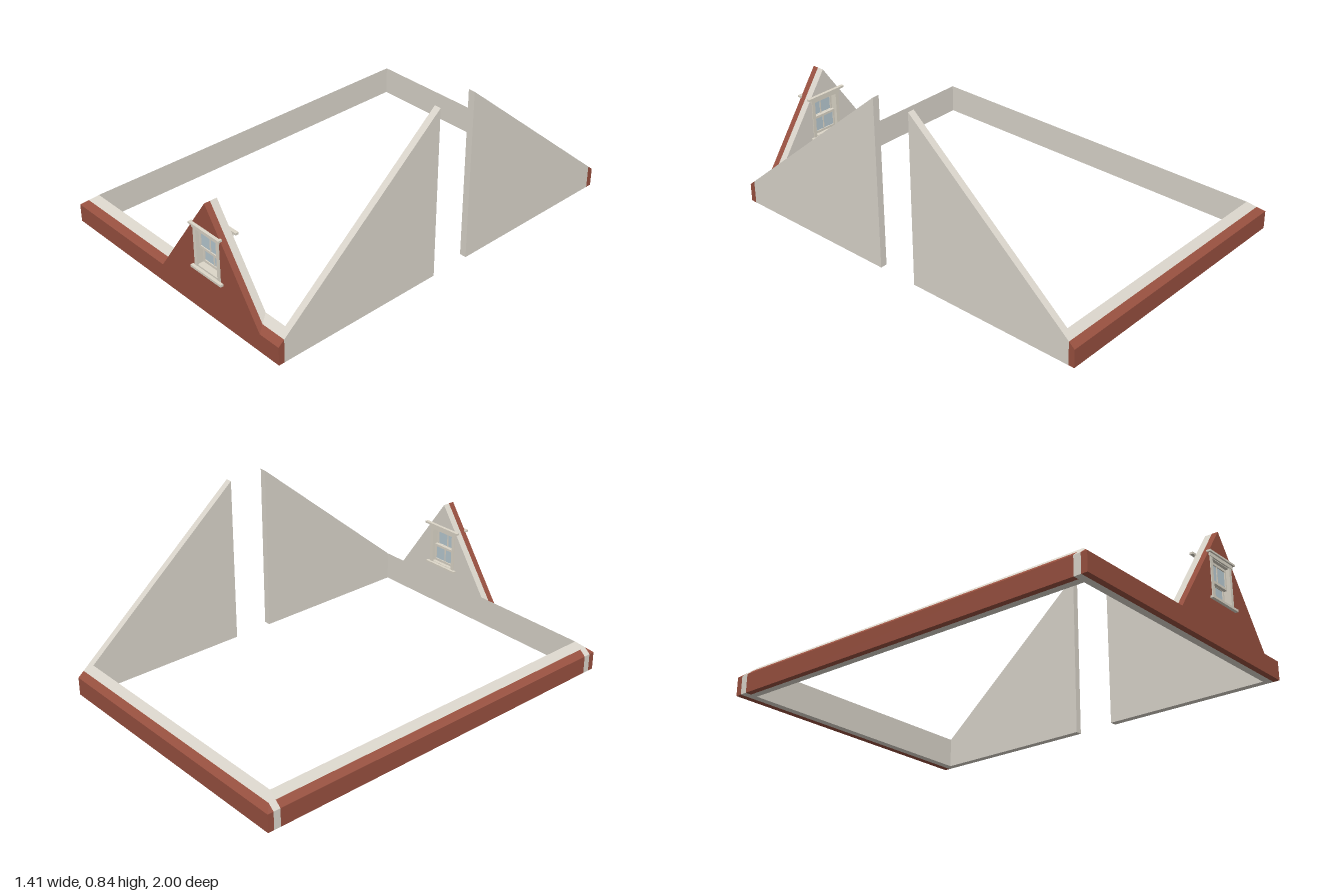
import * as THREE from 'three';

const brick = new THREE.MeshStandardMaterial({ name: 'red brick', color: 0x98503f });
const plaster = new THREE.MeshStandardMaterial({ name: 'pale plaster', color: 0xdad5cb });
const trim = new THREE.MeshStandardMaterial({ name: 'window trim', color: 0xdcd6c8 });
const glass = new THREE.MeshStandardMaterial({ name: 'window glass', color: 0xb9cad2 });

// plan lines: outer face, joint between brick and plaster, inner face
const L = [-0.705, -0.675, -0.64];
const F = [0.985, 0.955, 0.92];
const B = [-1, -0.97, -0.935];
const R = 0.705, RI = 0.672;
const EAVE = 0.09, SLOPE = 0.843;
const roof = (x, z) => EAVE + SLOPE * Math.min(x - L[0], F[0] - z, z - B[0]);

// upright prism over a convex [x, z] footprint, cut off by the roof planes
function wallPiece(name, material, footprint) {
  if (THREE.ShapeUtils.area(footprint.map(([x, z]) => new THREE.Vector2(x, z))) > 0) footprint = [...footprint].reverse();
  const low = footprint.map(([x, z]) => [x, 0, z]);
  const high = footprint.map(([x, z]) => [x, roof(x, z), z]);
  const pos = [];
  const tri = (a, b, c) => pos.push(...a, ...b, ...c);
  const n = footprint.length;
  for (let i = 0; i < n; i++) {
    const j = (i + 1) % n;
    tri(low[i], low[j], high[j]);
    tri(low[i], high[j], high[i]);
    if (i > 0 && i < n - 1) {
      tri(high[0], high[i], high[i + 1]);
      tri(low[0], low[i + 1], low[i]);
    }
  }
  const geo = new THREE.BufferGeometry();
  geo.setAttribute('position', new THREE.Float32BufferAttribute(pos, 3));
  geo.computeVertexNormals();
  const mesh = new THREE.Mesh(geo, material);
  mesh.name = name;
  return mesh;
}

// box given by its limits
function slab(name, material, x0, x1, y0, y1, z0, z1) {
  const mesh = new THREE.Mesh(new THREE.BoxGeometry(x1 - x0, y1 - y0, z1 - z0), material);
  mesh.position.set((x0 + x1) / 2, (y0 + y1) / 2, (z0 + z1) / 2);
  mesh.name = name;
  return mesh;
}

// triangular dormer wall with a window opening
const CX = 0.263, HALF = 0.326, APEX = 0.56;
function gable(name, material, z0, z1) {
  const shape = new THREE.Shape([
    [CX - HALF, 0], [CX + HALF, 0], [CX + HALF, EAVE], [CX, APEX], [CX - HALF, EAVE],
  ].map(([x, y]) => new THREE.Vector2(x, y)));
  shape.holes.push(new THREE.Path([
    [CX - 0.08, 0.215], [CX - 0.08, 0.415], [CX + 0.08, 0.415], [CX + 0.08, 0.215],
  ].map(([x, y]) => new THREE.Vector2(x, y))));
  const mesh = new THREE.Mesh(new THREE.ExtrudeGeometry(shape, { depth: z1 - z0, bevelEnabled: false }), material);
  mesh.position.z = z0;
  mesh.name = name;
  return mesh;
}

function createWindow() {
  const g = new THREE.Group();
  g.name = 'dormerWindow';
  const bar = (name, x0, x1, y0, y1, z0, z1, m = trim) => g.add(slab(name, m, CX + x0, CX + x1, y0, y1, z0, z1));
  // frame lining the opening, with casings proud of both faces
  for (const s of [-1, 1]) {
    const a = s < 0 ? -0.085 : 0.067, b = s < 0 ? -0.067 : 0.085;
    bar('outerCasing', a, b, 0.22, 0.41, 0.98, 0.989);
    bar('innerCasing', a, b, 0.222, 0.43, 0.916, 0.925);
    bar('jamb', s < 0 ? -0.08 : 0.071, s < 0 ? -0.071 : 0.08, 0.215, 0.415, 0.92, 0.985);
  }
  bar('headLining', -0.08, 0.08, 0.405, 0.415, 0.92, 0.985);
  bar('sillLining', -0.08, 0.08, 0.215, 0.225, 0.92, 0.985);
  // heads and sills
  bar('outerHead', -0.09, 0.09, 0.408, 0.424, 0.98, 0.992);
  bar('outerHeadCap', -0.1, 0.1, 0.424, 0.433, 0.98, 1);
  bar('outerSill', -0.1, 0.1, 0.206, 0.217, 0.98, 1);
  bar('innerHead', -0.09, 0.09, 0.408, 0.431, 0.914, 0.925);
  bar('innerHeadCap', -0.112, 0.112, 0.431, 0.441, 0.904, 0.92);
  bar('innerSill', -0.1, 0.1, 0.214, 0.223, 0.904, 0.925);
  // two sliding sashes, upper one further out
  for (const [y0, y1, z] of [[0.225, 0.317, 0.938], [0.305, 0.405, 0.954]]) {
    for (const s of [-1, 1]) bar('sashStile', s * 0.068 - 0.006, s * 0.068 + 0.006, y0, y1, z, z + 0.015);
    bar('sashBottomRail', -0.072, 0.072, y0, y0 + 0.012, z, z + 0.015);
    bar('sashTopRail', -0.072, 0.072, y1 - 0.012, y1, z, z + 0.015);
    bar('glazingBar', -0.003, 0.003, y0, y1, z + 0.002, z + 0.013);
    bar('pane', -0.068, 0.068, y0 + 0.005, y1 - 0.005, z + 0.005, z + 0.01, glass);
  }
  return g;
}

export function createModel() {
  const model = new THREE.Group();
  model.name = 'atticWalls';
  const wall = (...args) => model.add(wallPiece(...args));

  // front and back walls: two layers each, mitred under the left roof slope
  for (const [side, Z] of [['front', F], ['back', B]]) {
    for (const [i, layer, material, end] of [[0, 'Brick', brick, R], [1, 'Plaster', plaster, RI]]) {
      wall(side + layer, material, [[L[i], Z[i]], [end, Z[i]], [end, Z[i + 1]], [L[i + 1], Z[i + 1]]]);
      wall(side + layer + 'Corner', material,
        [[L[0], Z[i]], ...(i ? [[L[i], Z[i]]] : []), [L[i + 1], Z[i + 1]], [L[0], Z[i + 1]]]);
    }
  }

  // left wall
  wall('leftBrick', brick, [[L[0], B[2]], [L[1], B[2]], [L[1], F[2]], [L[0], F[2]]]);
  wall('leftPlaster', plaster, [[L[1], B[2]], [L[2], B[2]], [L[2], F[2]], [L[1], F[2]]]);

  // right gable wall in two halves with an open gap
  wall('rightWallFront', plaster, [[RI, 0.095], [R, 0.095], [R, F[1]], [RI, F[1]]]);
  wall('rightWallBack', plaster, [[RI, B[1]], [R, B[1]], [R, -0.11], [RI, -0.11]]);

  // dormer
  model.add(gable('dormerBrick', brick, F[1], F[0]));
  model.add(gable('dormerPlaster', plaster, F[2], F[1]));
  model.add(createWindow());
  return model;
}
